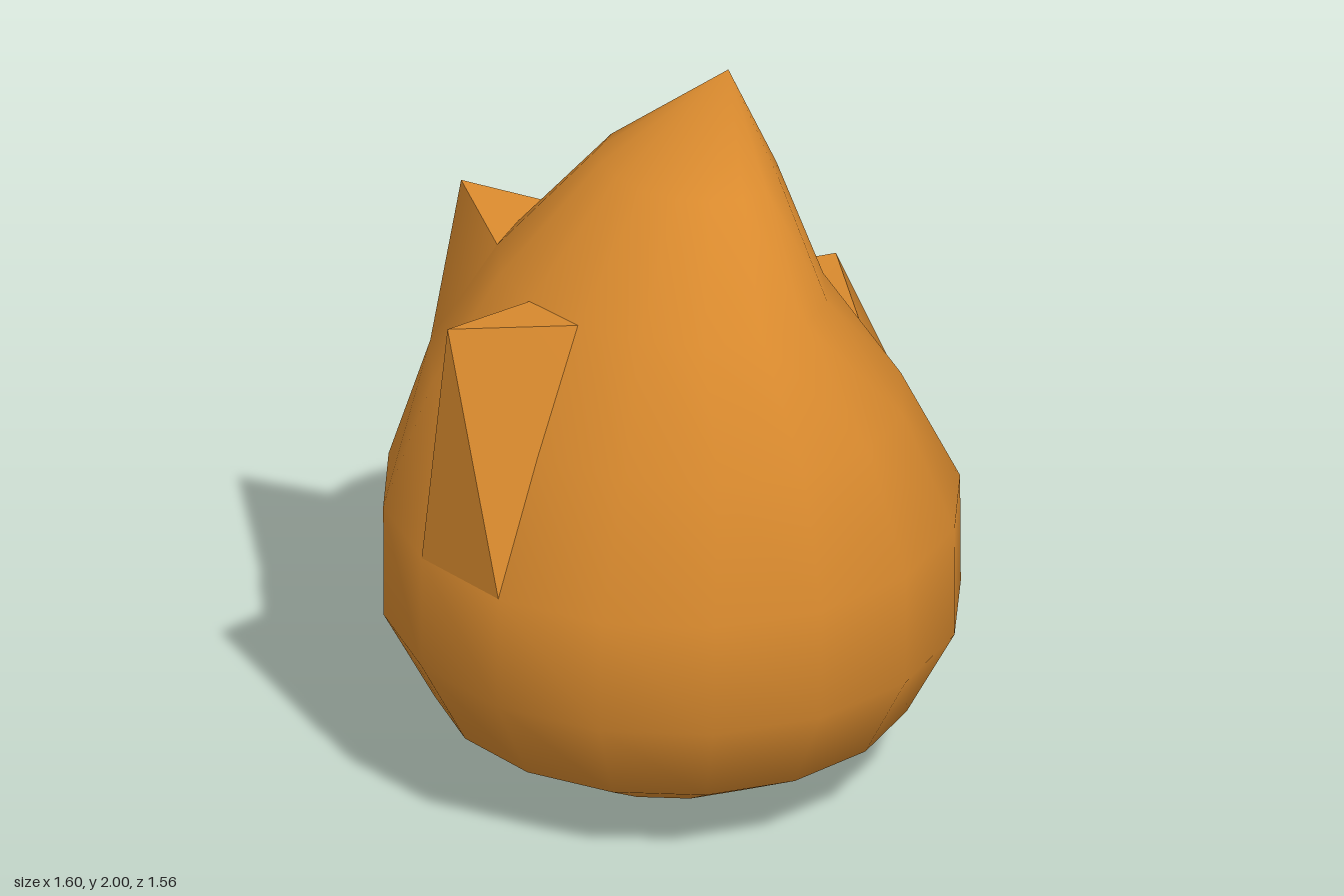
import * as THREE from 'three';
import { toCreasedNormals } from 'three/addons/utils/BufferGeometryUtils.js';

const SIDES = 16;

// Cross-sections from bottom to top: [y, half width, front z, back z]
const RINGS = [
  [0, 0, 0, 0],
  [0.06, 0.37, 0.37, -0.37],
  [0.22, 0.655, 0.645, -0.655],
  [0.48, 0.795, 0.78, -0.78],
  [0.81, 0.8, 0.775, -0.77],
  [1.17, 0.69, 0.6, -0.55],
  [1.5, 0.49, 0.42, -0.33],
  [1.79, 0.265, 0.13, -0.28],
  [2, 0, -0.25, -0.25],
];

// Point k of ring i; k = 0 is the front, k = 4 the +x side
function ringPoint(i, k) {
  const [y, rx, front, back] = RINGS[i];
  const a = (k / SIDES) * Math.PI * 2;
  return [rx * Math.sin(a), y, (front + back) / 2 + ((front - back) / 2) * Math.cos(a)];
}

function indexed(points, index) {
  const g = new THREE.BufferGeometry();
  g.setAttribute('position', new THREE.Float32BufferAttribute(points.flat(), 3));
  g.setIndex(index);
  g.computeVertexNormals();
  return g;
}

// Egg-shaped flame body, closed by one point at each end
function bodyGeometry() {
  const last = RINGS.length - 1;
  const points = [ringPoint(0, 0)];
  for (let i = 1; i < last; i++)
    for (let k = 0; k < SIDES; k++) points.push(ringPoint(i, k));
  points.push(ringPoint(last, 0));
  const top = points.length - 1;
  const at = (i, k) => (i === 0 ? 0 : i === last ? top : 1 + (i - 1) * SIDES + (k % SIDES));
  const index = [];
  for (let i = 0; i < last; i++)
    for (let k = 0; k < SIDES; k++) {
      if (i > 0) index.push(at(i, k), at(i, k + 1), at(i + 1, k));
      if (i < last - 1) index.push(at(i, k + 1), at(i + 1, k + 1), at(i + 1, k));
      if (i === 0) continue;
    }
  return indexed(points, index);
}

// Pointed tongue: a fan from a loop of body points to its tip
function tongueGeometry(tip, loop) {
  const points = loop.map(([i, k]) => ringPoint(i, k));
  const n = points.length;
  points.push(tip);
  const index = [];
  for (let j = 0; j < n; j++) index.push(j, (j + 1) % n, n);
  return toCreasedNormals(indexed(points, index), 0.9);
}

export function createModel() {
  const group = new THREE.Group();
  group.name = 'flame';
  const material = new THREE.MeshStandardMaterial({ color: 0xd98a2e, side: THREE.DoubleSide });
  const add = (name, geometry) => {
    const mesh = new THREE.Mesh(geometry, material);
    mesh.name = name;
    group.add(mesh);
  };

  add('flameBody', bodyGeometry());
  // Front tongue has a steep edge on one side
  add('frontTongue', tongueGeometry([-0.2, 1.56, 0.74],
    [[6, 15], [5, 15], [4, 15], [4, 16], [5, 16], [6, 16]]));
  add('sideTongue', tongueGeometry([-0.72, 1.53, 0],
    [[6, 12], [6, 11], [5, 11], [4, 12], [5, 13], [6, 13]]));
  add('backTongue', tongueGeometry([0.03, 1.255, -0.69],
    [[5, 8], [5, 7], [4, 7], [4, 8], [4, 9], [5, 9]]));
  return group;
}
